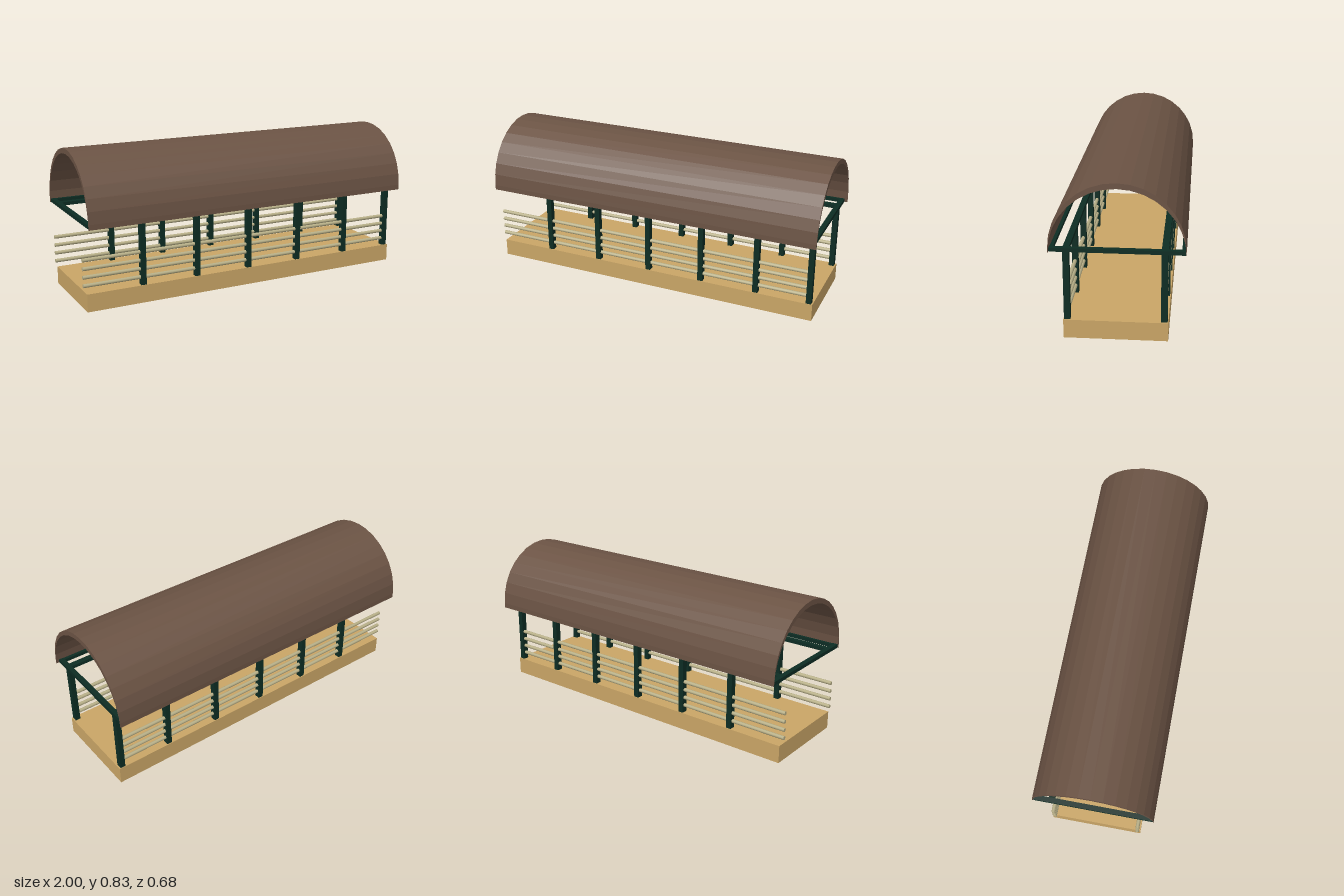
import * as THREE from 'three';

const mat = (name, color) => {
  const m = new THREE.MeshStandardMaterial({ color });
  m.name = name;
  return m;
};

export function createModel() {
  const model = new THREE.Group();
  const wood = mat('tanWood', 0xc9a566);
  const green = mat('darkGreen', 0x0d2c23);
  const railMat = mat('paleRail', 0xb8b088);
  const brown = mat('roofBrown', 0x6b5344);
  brown.flatShading = true;

  // Box given by its min and max on each axis
  const box = (name, material, x0, x1, y0, y1, z0, z1) => {
    const mesh = new THREE.Mesh(new THREE.BoxGeometry(x1 - x0, y1 - y0, z1 - z0), material);
    mesh.position.set((x0 + x1) / 2, (y0 + y1) / 2, (z0 + z1) / 2);
    mesh.name = name;
    model.add(mesh);
  };

  const postX = [-0.66, -0.335, -0.008, 0.32, 0.65, 0.957];
  const X0 = -0.985, X1 = 0.98, Z0 = -0.256, Z1 = 0.274;

  // Platform: deck on a rim, with a joist below each inner row of posts
  box('deck', wood, X0, X1, 0.06, 0.1, Z0, Z1);
  box('frontRim', wood, X0, X1, 0, 0.06, Z1 - 0.03, Z1);
  box('backRim', wood, X0, X1, 0, 0.06, Z0, Z0 + 0.03);
  box('leftRim', wood, X1 - 0.03, X1, 0, 0.06, Z0 + 0.03, Z1 - 0.03);
  box('rightRim', wood, X0, X0 + 0.03, 0, 0.06, Z0 + 0.03, Z1 - 0.03);
  for (const x of postX.slice(0, 5)) {
    box('joist', wood, x - 0.015, x + 0.015, 0, 0.06, Z0 + 0.03, Z1 - 0.03);
  }

  // Each long side: posts, top beams and four round rails
  for (const [z0, z1] of [[0.239, 0.271], [-0.252, -0.218]]) {
    const s = Math.sign(z0);
    for (const x of postX) box('post', green, x - 0.015, x + 0.015, 0.1, 0.47, z0, z1);
    box('topBeam', green, -0.975, 0.972, 0.468, 0.487, z0, z1);
    box('eaveBeam', green, -0.975, 0.972, 0.468, 0.487, s * 0.327 - 0.009, s * 0.327 + 0.009);
    for (const y of [0.143, 0.19, 0.237, 0.285]) {
      const rail = new THREE.Mesh(new THREE.CylinderGeometry(0.0105, 0.0105, 1.955, 12), railMat);
      rail.rotation.z = Math.PI / 2;
      rail.position.set(-0.0225, y, (z0 + z1) / 2);
      rail.name = 'rail';
      model.add(rail);
    }
  }

  // Cross beams at both ends
  for (const x of [-0.966, 0.963]) {
    box('crossBeam', green, x - 0.014, x + 0.014, 0.4675, 0.4875, -0.336, 0.338);
  }

  // Barrel roof: two equal arcs, one shifted down, joined at the eaves
  const N = 16, R = 0.34;
  const arc = (cy) => Array.from({ length: N + 1 }, (_, i) => {
    const a = (i / N) * Math.PI;
    return new THREE.Vector2(R * Math.cos(a), cy + R * Math.sin(a));
  });
  const section = new THREE.Shape([...arc(0.495), ...arc(0.466).reverse()]);
  const roofGeo = new THREE.ExtrudeGeometry(section, { depth: 1.98, bevelEnabled: false });
  roofGeo.rotateY(Math.PI / 2);
  const roof = new THREE.Mesh(roofGeo, brown);
  roof.position.x = -0.985;
  roof.name = 'barrelRoof';
  model.add(roof);

  return model;
}
